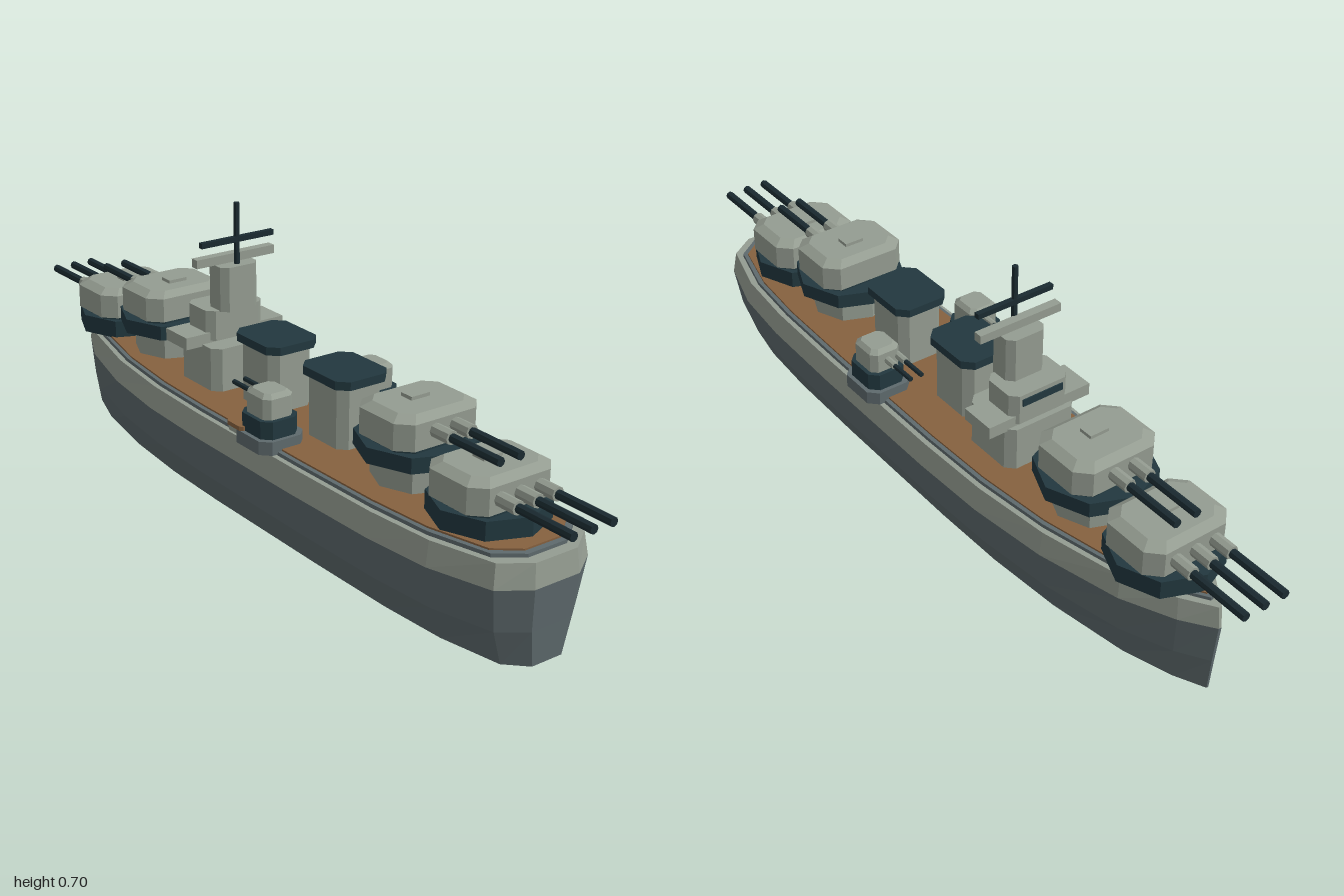
import * as THREE from 'three';

const mat = (name, color, side = THREE.FrontSide) => {
  const m = new THREE.MeshStandardMaterial({ color, side, flatShading: true });
  m.name = name;
  return m;
};

// Joins closed rings (counter-clockwise from above) of {y, pts:[[x,z]]} into a faceted solid
function loft(rings, capTop = true, capBottom = true) {
  const out = [];
  const n = rings[0].pts.length;
  const at = (r, i) => [r.pts[i % n][0], r.y, r.pts[i % n][1]];
  for (let k = 0; k < rings.length - 1; k++) {
    const a = rings[k], b = rings[k + 1];
    for (let i = 0; i < n; i++) {
      out.push(...at(a, i), ...at(a, i + 1), ...at(b, i + 1));
      out.push(...at(a, i), ...at(b, i + 1), ...at(b, i));
    }
  }
  const top = rings[rings.length - 1], low = rings[0];
  for (let i = 0; i < n; i++) {
    if (capTop) out.push(0, top.y, 0, ...at(top, i), ...at(top, i + 1));
    if (capBottom) out.push(0, low.y, 0, ...at(low, i + 1), ...at(low, i));
  }
  const g = new THREE.BufferGeometry();
  g.setAttribute('position', new THREE.Float32BufferAttribute(out, 3));
  g.computeVertexNormals();
  return g;
}

// Rectangle with cut corners, half sizes w and d, corner cut c
const cutRect = (y, w, d, c) => ({
  y,
  pts: [[w, d - c], [w, c - d], [w - c, -d], [c - w, -d], [-w, c - d], [-w, d - c], [c - w, d], [w - c, d]],
});
const cutBox = (w, d, h, c) => loft([cutRect(0, w, d, c), cutRect(h, w, d, c)]);

// Hull plan: z and half width from stern to bow
const plan = [[0.915, 0.06], [0.87, 0.128], [0.72, 0.172], [0.55, 0.188], [0.3, 0.193], [-0.1, 0.193],
  [-0.3, 0.186], [-0.5, 0.162], [-0.7, 0.112], [-0.82, 0.055], [-0.89, 0.004]];
const hullRing = (y, sx, sz) => {
  const right = plan.map(([z, w]) => [w * sx, z * sz]);
  return { y, pts: [...right, ...right.map(([x, z]) => [-x, z]).reverse()] };
};

export function createModel() {
  const model = new THREE.Group();
  model.name = 'battleship';
  const light = mat('lightGrey', 0x949c91);
  const lightShell = mat('lightGreyShell', 0x949c91, THREE.DoubleSide);
  const hullGrey = mat('hullGrey', 0x5e6a6d, THREE.DoubleSide);
  const dark = mat('darkSlate', 0x22383f);
  const gun = mat('gunMetal', 0x1b2b31);
  const wood = mat('deckWood', 0x86613f);

  const add = (parent, name, geo, m, x = 0, y = 0, z = 0) => {
    const mesh = new THREE.Mesh(geo, m);
    mesh.name = name;
    mesh.position.set(x, y, z);
    parent.add(mesh);
    return mesh;
  };
  const box = (w, h, d) => new THREE.BoxGeometry(w, h, d);
  const group = (name, x, y, z, turn = 0) => {
    const g = new THREE.Group();
    g.name = name;
    g.position.set(x, y, z);
    g.rotation.y = turn;
    model.add(g);
    return g;
  };
  // Gun tube along +z
  const tube = (r, len) => new THREE.CylinderGeometry(r, r, len, 8).rotateX(Math.PI / 2);

  // Hollow hull, open underneath
  add(model, 'hullSides', loft([hullRing(0, 0.67, 0.983), hullRing(0.085, 0.885, 0.99),
    hullRing(0.185, 1, 1)], false, false), hullGrey);
  add(model, 'hullTopBand', loft([hullRing(0.185, 1, 1), hullRing(0.24, 0.935, 0.993)], true, false), lightShell);
  add(model, 'deckRim', loft([hullRing(0.24, 0.87, 0.965), hullRing(0.248, 0.865, 0.965)]), hullGrey);
  add(model, 'woodDeck', loft([hullRing(0.246, 0.81, 0.95), hullRing(0.252, 0.81, 0.95)]), wood);

  // Main turret; floor is the height of its dark platform
  function mainTurret(name, z, floor, radius, guns, barrelY, tip, turn) {
    const g = group(name, 0, 0, z, turn);
    if (floor > 0.26) {
      add(g, 'barbette', new THREE.CylinderGeometry(0.1, 0.1, floor - 0.24, 8), light, 0, (floor + 0.24) / 2);
    }
    const h = floor > 0.26 ? 0.036 : 0.045;
    const ring = new THREE.CylinderGeometry(radius, radius, h, 8);
    add(g, 'platform', ring, dark, 0, floor + h / 2);
    add(g, 'turretNeck', cutBox(0.105, 0.085, 0.012, 0.03), dark, 0, floor + h);
    const y = floor + h + 0.006;
    add(g, 'turretHouse', loft([cutRect(0, 0.113, 0.088, 0.032), cutRect(0.06, 0.113, 0.088, 0.032),
      cutRect(0.074, 0.09, 0.068, 0.026)]), light, 0, y);
    add(g, 'roofHatch', box(0.05, 0.012, 0.035), light, 0, y + 0.076, -0.01);
    for (const x of guns) {
      add(g, 'gunSleeve', tube(0.016, 0.07), light, x, barrelY, 0.105);
      add(g, 'gunBarrel', tube(0.0105, tip - 0.1), gun, x, barrelY, (tip + 0.1) / 2);
    }
  }
  for (const [end, s, turn] of [['stern', 1, 0], ['bow', -1, Math.PI]]) {
    mainTurret(end + 'LowerTurret', s * 0.71, 0.25, 0.13, [-0.053, 0, 0.053], 0.333, 0.29, turn);
    mainTurret(end + 'UpperTurret', s * 0.483, 0.314, 0.137, [-0.027, 0.027], 0.393, 0.285, turn);
  }

  // Funnels
  for (const z of [-0.03, 0.23]) {
    const f = group('funnel', 0, 0.25, z);
    add(f, 'funnelBody', cutBox(0.06, 0.07, 0.152, 0.02), light);
    add(f, 'funnelCap', cutBox(0.071, 0.083, 0.02, 0.024), dark, 0, 0.148);
  }

  // Bridge, tower and mast
  const b = group('bridge', 0, 0, -0.225);
  add(b, 'bridgeBase', cutBox(0.095, 0.08, 0.11, 0.02), light, 0, 0.25);
  add(b, 'bridgeWings', box(0.28, 0.03, 0.09), light, 0, 0.37, -0.02);
  add(b, 'upperBridge', cutBox(0.08, 0.053, 0.075, 0.018), light, 0, 0.365, -0.018);
  add(b, 'bridgeWindows', box(0.11, 0.018, 0.006), dark, 0, 0.42, -0.071);
  add(b, 'tower', cutBox(0.052, 0.038, 0.11, 0.016), light, 0, 0.438, 0.018);
  add(b, 'rangefinder', box(0.22, 0.021, 0.022), light, 0, 0.563, 0.02);
  add(b, 'mast', new THREE.CylinderGeometry(0.007, 0.007, 0.152, 8), gun, 0, 0.622, 0.035);
  add(b, 'mastYard', box(0.204, 0.013, 0.013), gun, 0, 0.609, 0.035);

  // Secondary turrets on both sides, guns towards the bow
  for (const s of [-1, 1]) {
    const t = group(s > 0 ? 'leftSecondaryTurret' : 'rightSecondaryTurret', s * 0.143, 0, 0.145, Math.PI);
    add(t, 'sponson', cutBox(0.06, 0.065, 0.032, 0.022), hullGrey, 0, 0.242);
    add(t, 'platform', cutBox(0.05, 0.055, 0.042, 0.02), dark, 0, 0.274);
    add(t, 'turretHouse', loft([cutRect(0, 0.04, 0.044, 0.014), cutRect(0.05, 0.04, 0.044, 0.014),
      cutRect(0.06, 0.03, 0.033, 0.011)]), light, 0, 0.314);
    for (const x of [-0.015, 0.015]) {
      add(t, 'gunSleeve', tube(0.009, 0.04), light, x + s * 0.015, 0.343, 0.055);
      add(t, 'gunBarrel', tube(0.006, 0.08), gun, x + s * 0.015, 0.343, 0.1);
    }
  }

  // Small boat on the right side
  const boat = group('shipsBoat', -0.19, 0.262, 0.09);
  add(boat, 'boatHull', cutBox(0.012, 0.028, 0.012, 0.007), light);
  add(boat, 'boatTop', cutBox(0.014, 0.03, 0.01, 0.007), wood, 0, 0.012);
  return model;
}
